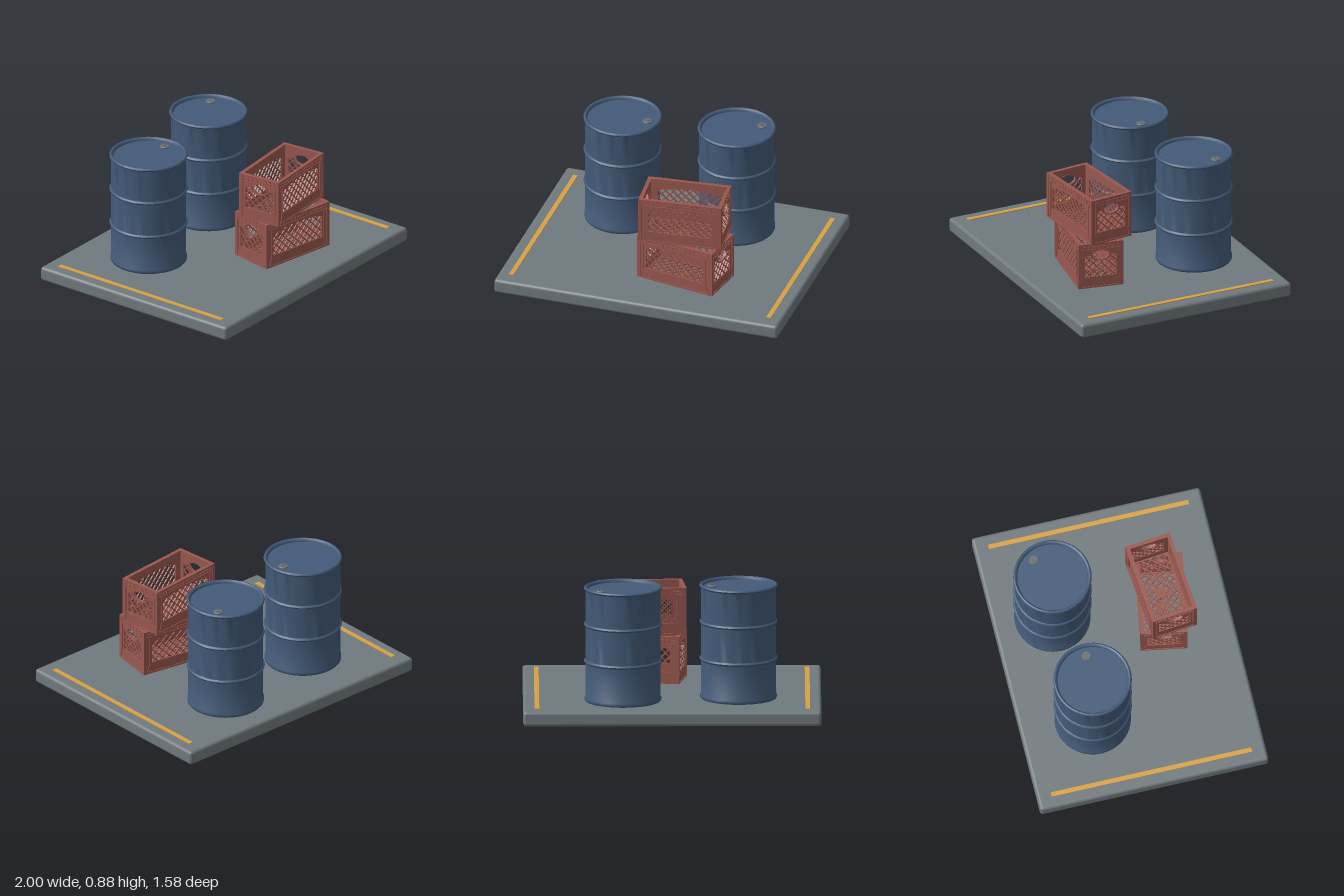
import * as THREE from 'three';
import { mergeGeometries, toCreasedNormals } from 'three/addons/utils/BufferGeometryUtils.js';
import { RoundedBoxGeometry } from 'three/addons/geometries/RoundedBoxGeometry.js';

const makeMaterial = (name, color) => {
  const m = new THREE.MeshStandardMaterial({ color });
  m.name = name;
  return m;
};

function addMesh(parent, name, geometry, material, x = 0, y = 0, z = 0) {
  const mesh = new THREE.Mesh(geometry, material);
  mesh.name = name;
  mesh.position.set(x, y, z);
  parent.add(mesh);
  return mesh;
}

// Box placed by its centre, turned about z
const bar = (w, h, d, x, y, z, turn = 0) =>
  new THREE.BoxGeometry(w, h, d).toNonIndexed().rotateZ(turn).translate(x, y, z);

// Diagonal mesh in the xy plane: one slanted bar per cell, alternating direction
function lattice(halfW, y0, y1, pitch, z, inside) {
  const s = pitch / 2, parts = [];
  const nx = Math.ceil(halfW / s), ny = Math.ceil((y1 - y0) / s);
  for (let i = -nx; i < nx; i++) {
    for (let j = 0; j < ny; j++) {
      const x = (i + 0.5) * s, y = y0 + (j + 0.5) * s;
      if (!inside(x, y)) continue;
      const turn = (i + j) % 2 === 0 ? Math.PI / 4 : -Math.PI / 4;
      parts.push(bar(s * 1.5, 0.007, 0.01, x, y, z, turn));
    }
  }
  return parts;
}

// ---- Crate ----
const L = 0.57, W = 0.315, H = 0.322;
const SILL = 0.078, SHOULDER = 0.232;

// One wall facing +z with its outer face at z = 0
function crateWall(length, isEnd) {
  const half = length / 2, win = isEnd ? 0.11 : 0.22;
  const parts = [];
  const shape = new THREE.Shape();
  shape.moveTo(-half, 0);
  shape.lineTo(half, 0);
  shape.lineTo(half, H);
  shape.lineTo(-half, H);
  shape.closePath();

  // Window with a handle notch on the ends, a shallow arch on the long sides
  const hole = new THREE.Path();
  hole.moveTo(-win, SILL);
  hole.lineTo(-win, SHOULDER);
  if (isEnd) {
    hole.lineTo(-0.06, SHOULDER);
    hole.absellipse(0, SHOULDER, 0.06, 0.038, Math.PI, 0, true);
    hole.lineTo(win, SHOULDER);
  } else {
    hole.bezierCurveTo(-0.13, 0.27, 0.13, 0.27, win, SHOULDER);
  }
  hole.lineTo(win, SILL);
  hole.closePath();
  shape.holes.push(hole);
  parts.push(new THREE.ExtrudeGeometry(shape, { depth: 0.016, bevelEnabled: false, curveSegments: 10 })
    .translate(0, 0, -0.021));

  // Window mesh, left open at the handle
  const inHandle = (x, y) => (x / 0.068) ** 2 + ((y - 0.235) / 0.045) ** 2 < 1;
  parts.push(...lattice(win, SILL - 0.01, 0.265, 0.055, -0.014, (x, y) => !isEnd || !inHandle(x, y)));
  if (isEnd) {
    const ring = new THREE.Shape().absellipse(0, 0.235, 0.07, 0.044, 0, Math.PI * 2);
    ring.holes.push(new THREE.Path().absellipse(0, 0.235, 0.059, 0.035, 0, Math.PI * 2));
    parts.push(new THREE.ExtrudeGeometry(ring, { depth: 0.02, bevelEnabled: false, curveSegments: 12 })
      .translate(0, 0, -0.023));
  }

  // Ribbed band below the rim
  for (const y of [0.276, 0.297]) parts.push(bar(length, 0.006, 0.007, 0, y, -0.0035));
  const count = Math.round(length / 0.034);
  for (let i = 1; i < count; i++) {
    parts.push(bar(0.005, 0.044, 0.006, -half + (i * length) / count, 0.297, -0.0035));
  }
  // Rim and bottom lip
  parts.push(bar(length, 0.01, 0.026, 0, H - 0.005, -0.013));
  parts.push(bar(length, 0.01, 0.024, 0, 0.005, -0.012));

  // Pillar ribs and slanted foot ribs
  for (const side of [-1, 1]) {
    parts.push(bar(0.006, 0.2, 0.006, side * (win + 0.016), 0.176, -0.003));
    parts.push(bar(0.006, 0.08, 0.006, side * (win + 0.026), 0.04, -0.003, side * 0.28));
    parts.push(bar(0.016, H - 0.002, 0.024, side * (half - 0.008), H / 2, -0.012));
  }
  return mergeGeometries(parts);
}

function crate(name, material, x, y, z, turn) {
  const group = new THREE.Group();
  group.name = name;
  const sideWall = crateWall(L, false), endWall = crateWall(W, true);
  for (const s of [1, -1]) {
    const label = s > 0 ? ['frontWall', 'leftWall'] : ['backWall', 'rightWall'];
    addMesh(group, label[0], sideWall, material, 0, 0, s * W / 2).rotation.y = s > 0 ? 0 : Math.PI;
    addMesh(group, label[1], endWall, material, s * L / 2, 0, 0).rotation.y = s * Math.PI / 2;
  }
  // Mesh floor with a centre pad
  const floor = lattice(L / 2 - 0.01, -W / 2 + 0.01, W / 2 - 0.01, 0.055, 0,
    (px, py) => Math.abs(px) < L / 2 - 0.01 && Math.abs(py) < W / 2 - 0.01);
  floor.push(bar(0.072, 0.072, 0.014, 0, 0, 0));
  for (const s of [-1, 1]) {
    floor.push(bar(L - 0.03, 0.012, 0.012, 0, s * (W / 2 - 0.026), 0));
    floor.push(bar(0.012, W - 0.03, 0.012, s * (L / 2 - 0.026), 0, 0));
  }
  addMesh(group, 'meshFloor', mergeGeometries(floor).rotateX(-Math.PI / 2), material, 0, 0.009, 0);
  group.position.set(x, y, z);
  group.rotation.y = turn;
  return group;
}

// ---- Drum ----
function drum(name, shell, metal, x, z, turn) {
  const group = new THREE.Group();
  group.name = name;
  const R = 0.252, profile = [[0, 0], [0.252, 0], [0.257, 0.006], [0.257, 0.024], [R, 0.032]];
  // Two rolled hoops
  for (const y of [0.272, 0.522]) {
    profile.push([R, y - 0.012], [0.259, y - 0.008], [0.263, y], [0.259, y + 0.008], [R, y + 0.012]);
  }
  // Rolled top rim and sunken lid
  profile.push([R, 0.756], [0.259, 0.76], [0.263, 0.768], [0.259, 0.777], [0.252, 0.78],
    [0.244, 0.777], [0.238, 0.768], [0.236, 0.758], [0, 0.758]);
  const body = new THREE.LatheGeometry(profile.map(([r, y]) => new THREE.Vector2(r, y)), 48);
  addMesh(group, 'drumBody', toCreasedNormals(body, 0.75), shell);

  // Bung
  addMesh(group, 'bungCap', new THREE.CylinderGeometry(0.026, 0.03, 0.012, 20), metal, 0.175, 0.764, 0);
  addMesh(group, 'bungRing', new THREE.TorusGeometry(0.028, 0.006, 8, 24).rotateX(Math.PI / 2),
    metal, 0.175, 0.763, 0);
  addMesh(group, 'bungGrip', new THREE.BoxGeometry(0.032, 0.006, 0.008), metal, 0.175, 0.772, 0);
  group.position.set(x, 0.1, z);
  group.rotation.y = turn;
  return group;
}

export function createModel() {
  const model = new THREE.Group();
  model.name = 'storagePlatform';
  const concrete = makeMaterial('concreteGrey', 0x70797d);
  const yellow = makeMaterial('stripeYellow', 0xd6a143);
  const blue = makeMaterial('drumBlue', 0x435a78);
  const metal = makeMaterial('bungGrey', 0x6a7074);
  const red = makeMaterial('crateRed', 0x98574e);

  // Base slab with painted edge stripes
  addMesh(model, 'baseSlab', new RoundedBoxGeometry(2, 0.1, 1.575, 3, 0.022), concrete, 0, 0.05, 0);
  for (const s of [-1, 1]) {
    addMesh(model, s > 0 ? 'leftStripe' : 'rightStripe',
      new THREE.BoxGeometry(0.032, 0.008, 1.38), yellow, s * 0.908, 0.101, 0);
  }

  model.add(drum('rightDrum', blue, metal, -0.445, -0.295, 0));
  model.add(drum('leftDrum', blue, metal, 0.33, -0.387, 0.56));
  model.add(crate('lowerCrate', red, 0.205, 0.1, 0.335, -0.175));
  model.add(crate('upperCrate', red, 0.2, 0.423, 0.332, 0.095));
  return model;
}
